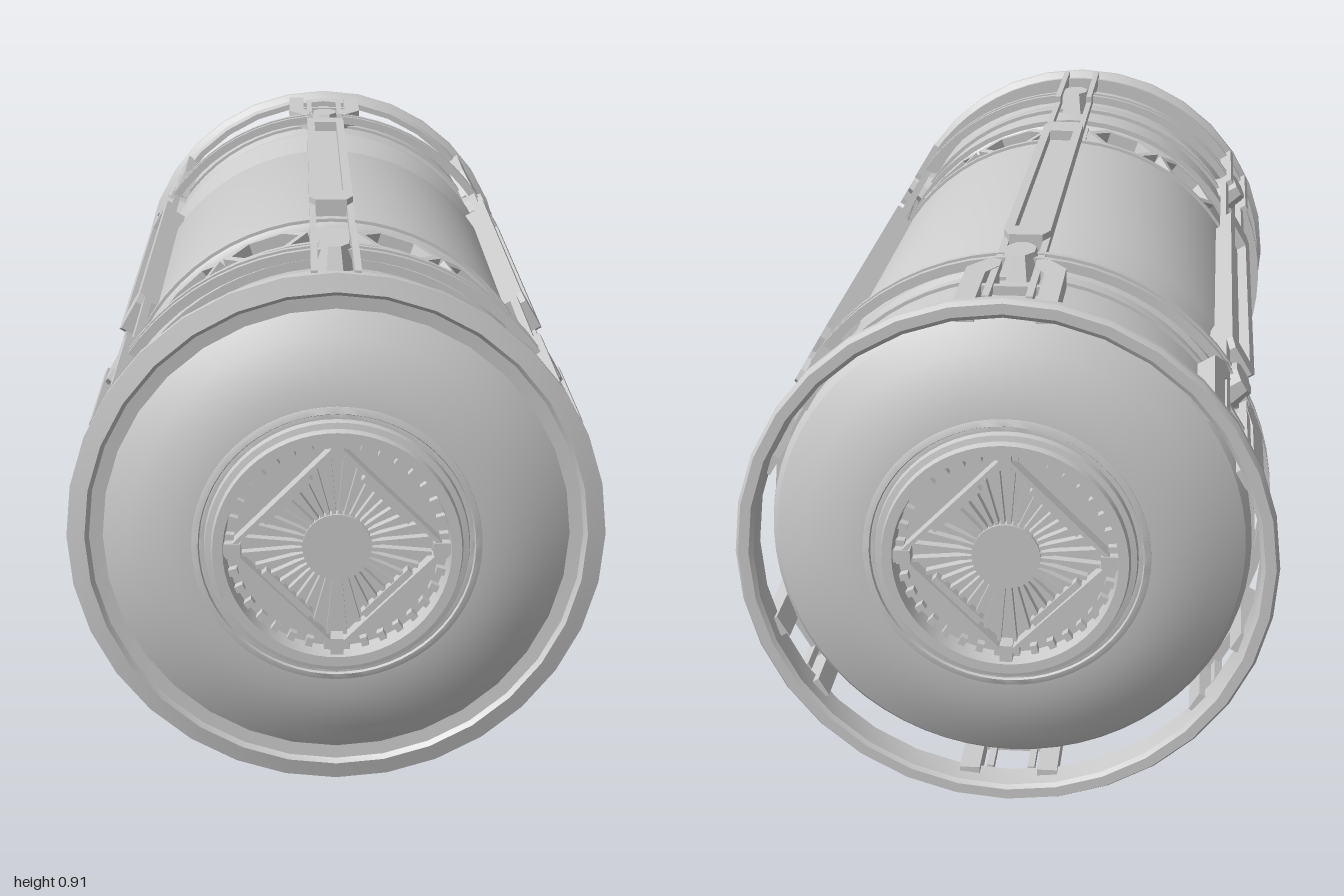
import * as THREE from 'three';
import { toCreasedNormals } from 'three/addons/utils/BufferGeometryUtils.js';

const CENTRE = 0.458;
const grey = new THREE.MeshStandardMaterial({ color: 0xcccccc, side: THREE.DoubleSide });

function add(parent, geometry, name) {
  const mesh = new THREE.Mesh(geometry, grey);
  mesh.name = name;
  parent.add(mesh);
  return mesh;
}

// Profile of [radius, z] pairs spun around the long axis
function spin(profile, segments = 64) {
  const pts = profile.map(([r, z]) => new THREE.Vector2(r, z));
  return toCreasedNormals(new THREE.LatheGeometry(pts, segments).rotateX(Math.PI / 2), 0.45);
}

// Square-section ring between two radii and two z positions
function hoop(parent, r0, r1, z0, z1, name, segments = 64) {
  return add(parent, spin([[r0, z0], [r1, z0], [r1, z1], [r0, z1], [r0, z0]], segments), name);
}

// Box given by its limits: x is tangential, y radial, z along the axis
function block(parent, x0, x1, y0, y1, z0, z1, name) {
  const g = new THREE.BoxGeometry(x1 - x0, y1 - y0, z1 - z0);
  g.translate((x0 + x1) / 2, (y0 + y1) / 2, (z0 + z1) / 2);
  return add(parent, g, name);
}

function polygon(points, Type = THREE.Shape) {
  return new Type(points.map(([x, y]) => new THREE.Vector2(x, y)));
}

// Flat outline drawn in (tangent, z), thickened outward from radius r
function plate(parent, points, r, depth, name, hole) {
  const shape = polygon(points);
  if (hole) shape.holes.push(polygon(hole, THREE.Path));
  const g = new THREE.ExtrudeGeometry(shape, { depth, bevelEnabled: false });
  g.rotateX(Math.PI / 2).translate(0, r + depth, 0);
  return add(parent, g, name);
}

const rect = (x, z0, z1) => [[-x, z0], [x, z0], [x, z1], [-x, z1]];

const hexagon = (r) => Array.from({ length: 6 }, (_, i) =>
  [r * Math.cos(i * Math.PI / 3), r * Math.sin(i * Math.PI / 3)]);

function makeHub() {
  const hub = new THREE.Group();
  add(hub, spin([[0.245, 0.955], [0.243, 0.973], [0.232, 0.977], [0.23, 0.972], [0.222, 0.972],
    [0.22, 0.985], [0.21, 0.987], [0.207, 1], [0.19, 1], [0.186, 0.96], [0, 0.96]]), 'hubRing');
  const disc = new THREE.CylinderGeometry(0.058, 0.058, 0.02, 32).rotateX(Math.PI / 2);
  add(hub, disc.translate(0, 0, 0.97), 'hubDisc');

  // Fan of spokes reaching to the diamond frame
  for (let i = 0; i < 36; i++) {
    const a = (i + 0.5) * Math.PI / 18;
    const reach = 0.172 / (Math.abs(Math.cos(a)) + Math.abs(Math.sin(a)));
    const spoke = block(hub, 0.055, reach, -0.0035, 0.0035, 0.955, 0.976, 'hubSpoke');
    spoke.rotation.z = a;
    const tooth = block(hub, 0.172, 0.188, -0.006, 0.006, 0.955, 0.975, 'hubTooth');
    tooth.rotation.z = a;
  }

  // Diamond frame with corner posts and inner blades
  for (let i = 0; i < 4; i++) {
    const side = new THREE.Group();
    side.name = 'diamondSide';
    side.rotation.z = i * Math.PI / 2 + Math.PI / 4;
    block(side, 0.124, 0.131, -0.122, 0.122, 0.955, 0.99, 'diamondBar');
    block(side, 0.112, 0.124, -0.055, 0.055, 0.955, 0.98, 'diamondBlade');
    hub.add(side);
    const post = block(hub, 0.16, 0.194, -0.011, 0.011, 0.955, 0.992, 'diamondPost');
    post.rotation.z = i * Math.PI / 2;
  }
  return hub;
}

function makeRail() {
  const rail = new THREE.Group();
  rail.name = 'rail';
  // Slotted centre plate
  plate(rail, [[-0.042, -0.57], [-0.03, -0.6], [0.03, -0.6], [0.042, -0.57],
    [0.042, 0.3], [0.03, 0.33], [-0.03, 0.33], [-0.042, 0.3]], 0.426, 0.027, 'railPlate',
  rect(0.025, -0.54, 0.24));
  block(rail, -0.03, 0.03, 0.40, 0.432, -0.56, 0.28, 'slotFloor');

  for (const s of [-1, 1]) {
    const [a, b] = s > 0 ? [0.03, 0.042] : [-0.042, -0.03];
    block(rail, a, b, 0.426, 0.441, -0.93, 0.9, 'railStrip');
    block(rail, a, b, 0.426, 0.454, 0.6, 0.9, 'frontRailStrip');
    // Flared fork carrying the rear rim
    const fork = [[0.042, -0.7], [0.085, -0.77], [0.085, -0.97], [0.05, -0.97], [0.05, -0.8], [0.03, -0.76]];
    plate(rail, fork.map(([x, z]) => [s * x, z]), 0.408, 0.034, 'rearFork');
  }
  block(rail, -0.05, 0.05, 0.42, 0.436, -0.86, -0.845, 'forkBridge');

  // Faceted clamps over the double hoops
  for (const z of [-0.69, 0.68]) {
    const g = new THREE.CylinderGeometry(0.028, 0.04, 0.045, 8).rotateY(Math.PI / 8);
    g.scale(1, 1, 1.6).translate(0, 0.43, z);
    add(rail, toCreasedNormals(g, 0.3), 'clamp');
  }
  return rail;
}

export function createModel() {
  const model = new THREE.Group();
  model.name = 'canister';
  const body = new THREE.Group();
  body.name = 'body';
  body.position.y = CENTRE;
  model.add(body);

  // Main shell with domed ends, rear waist and front recess
  add(body, spin([[0, -0.95], [0.24, -0.95], [0.242, -0.972], [0.28, -0.968], [0.35, -0.943], [0.4, -0.915],
    [0.41, -0.9], [0.41, -0.72], [0.4, -0.715], [0.4, -0.65], [0.41, -0.645], [0.41, -0.62],
    [0.385, -0.55], [0.385, -0.48], [0.41, -0.41], [0.41, 0.335], [0.395, 0.345], [0.368, 0.35],
    [0.368, 0.505], [0.395, 0.51], [0.408, 0.52], [0.408, 0.65], [0.395, 0.655], [0.395, 0.71],
    [0.41, 0.715], [0.41, 0.9], [0.405, 0.91], [0.35, 0.943], [0.28, 0.968], [0.242, 0.972],
    [0.24, 0.95], [0, 0.95]]), 'shell');

  // Front rim is closed against the dome, rear rim stands free
  add(body, spin([[0.395, 0.885], [0.43, 0.885], [0.44, 0.9], [0.456, 0.91], [0.456, 0.922],
    [0.425, 0.93], [0.418, 0.922], [0.395, 0.92]], 32), 'frontRim');
  add(body, spin([[0.425, -0.995], [0.432, -1], [0.45, -1], [0.456, -0.99], [0.456, -0.975],
    [0.442, -0.965], [0.437, -0.945], [0.424, -0.945], [0.425, -0.995]], 32), 'rearRim');

  // Thin hoops tying the rails together
  for (const z of [0.87, 0.7, 0.67, -0.68, -0.71]) hoop(body, 0.428, 0.445, z - 0.006, z + 0.006, 'hoop');
  for (const z of [0.65, 0.525, 0.325, -0.73, -0.86]) hoop(body, 0.4, 0.416, z - 0.007, z + 0.007, 'band');

  // Six rails, with a pair of hexagonal cells in each gap
  for (let i = 0; i < 6; i++) {
    const rail = makeRail();
    rail.rotation.z = i * Math.PI / 3;
    body.add(rail);
    for (const s of [-1, 1]) {
      const cell = new THREE.Group();
      cell.name = 'hexCell';
      cell.rotation.z = (i + 0.5) * Math.PI / 3 + s * 0.21;
      const frame = plate(cell, hexagon(0.083), 0.38, 0.025, 'hexFrame', hexagon(0.066));
      frame.position.z = 0.428;
      body.add(cell);
    }
    const web = new THREE.Group();
    web.name = 'cellWeb';
    web.rotation.z = i * Math.PI / 3;
    block(web, -0.042, 0.042, 0.36, 0.4, 0.345, 0.51, 'webBlock');
    body.add(web);
  }

  // Matching hubs on both ends
  for (const [name, turn] of [['frontHub', 0], ['rearHub', Math.PI]]) {
    const hub = makeHub();
    hub.name = name;
    hub.rotation.y = turn;
    body.add(hub);
  }
  return model;
}
